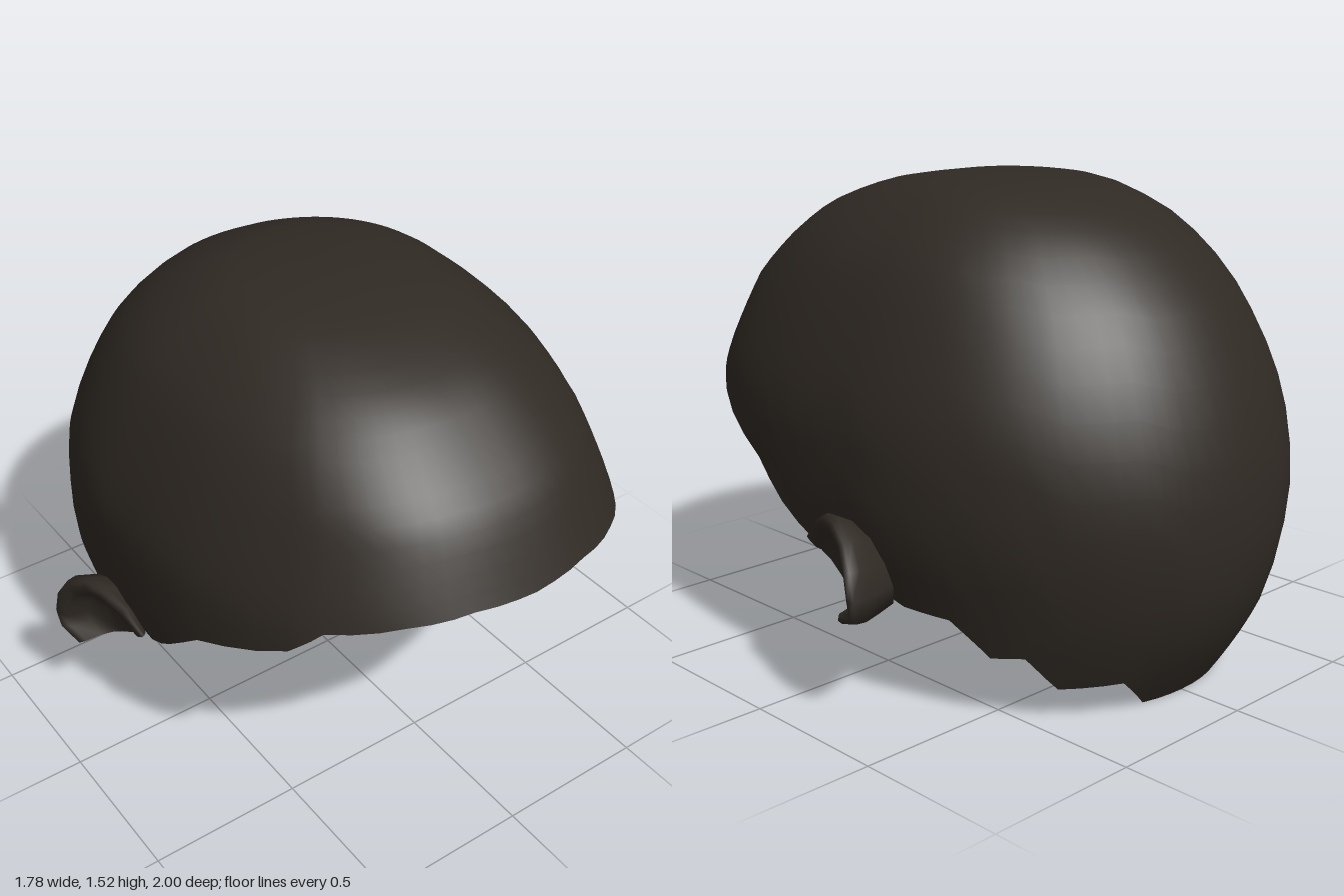
import * as THREE from 'three';
import { mergeVertices } from 'three/addons/utils/BufferGeometryUtils.js';

const material = new THREE.MeshStandardMaterial({ color: 0x302a24, side: THREE.DoubleSide });

// Smooth surface through rows of [x, y, z] points
function loft(name, rows) {
  const n = rows[0].length, index = [];
  for (let j = 0; j < rows.length - 1; j++) {
    for (let i = 0; i < n - 1; i++) {
      const a = j * n + i, b = a + 1, c = a + n, d = c + 1;
      index.push(a, b, c, b, d, c);
    }
  }
  let geo = new THREE.BufferGeometry();
  geo.setAttribute('position', new THREE.Float32BufferAttribute(rows.flat(2), 3));
  geo.setIndex(index);
  geo = mergeVertices(geo, 1e-4);
  geo.computeVertexNormals();
  const mesh = new THREE.Mesh(geo, material);
  mesh.name = name;
  return mesh;
}

// Horizontal sections of the skull: height, half width, front z, back z
const TOP = 1.525;
const SECTIONS = [
  [TOP, 0, 0, 0], [1.51, 0.25, 0.2, -0.28], [1.49, 0.33, 0.33, -0.35],
  [1.4, 0.47, 0.6, -0.57], [1.3, 0.57, 0.735, -0.69], [1.17, 0.64, 0.88, -0.81],
  [1.0, 0.71, 0.97, -0.905], [0.94, 0.73, 1.0, -0.93], [0.86, 0.753, 1.03, -0.955],
  [0.74, 0.76, 1.05, -0.99], [0.55, 0.76, 1.05, -1], [0.39, 0.72, 1.0, -0.98],
  [0.25, 0.685, 0.95, -0.94], [0.12, 0.66, 0.9, -0.87], [0, 0.6, 0.85, -0.79],
];

function section(y) {
  let k = 1;
  while (k < SECTIONS.length - 1 && SECTIONS[k][0] > y) k++;
  const a = SECTIONS[k - 1], b = SECTIONS[k];
  const depth = (h) => Math.sqrt(Math.max(0, TOP - h));
  const t = (depth(y) - depth(a[0])) / (depth(b[0]) - depth(a[0]));
  const [w, front, back] = [1, 2, 3].map((i) => a[i] + (b[i] - a[i]) * t);
  return { w, front, back, mid: -0.12 * w / 0.76 };
}

// Point on the skull at an angle from the front; squarer in front than behind
function skullPoint(phi, y) {
  const { w, front, back, mid } = section(y);
  const s = Math.sin(phi), c = Math.cos(phi);
  const n = c > 0 ? 2.4 : 2.05;
  const r = (Math.abs(s) ** n + Math.abs(c) ** n) ** (-1 / n);
  return [w * r * s, y, mid + (c > 0 ? front - mid : mid - back) * r * c];
}

// Jagged lower rim on the left, front to back: x, y, z
const RIM = [
  [0, 0.935, 1], [0.2, 0.945, 0.96], [0.38, 0.925, 0.89], [0.56, 0.88, 0.76],
  [0.62, 0.79, 0.67], [0.72, 0.65, 0.34], [0.75, 0.485, 0.14], [0.745, 0.45, 0.07],
  [0.74, 0.47, 0], [0.72, 0.38, -0.15], [0.69, 0.32, -0.3], [0.65, 0.31, -0.45],
  [0.57, 0.2, -0.54], [0.54, 0.21, -0.65], [0.44, 0.1, -0.69], [0.28, 0.11, -0.8],
  [0.16, 0, -0.78], [0, 0, -0.79],
];

function createSkullCap() {
  const knots = RIM.map(([x, y, z]) => {
    const { w, front, back, mid } = section(y);
    const v = (z - mid) / (z > mid ? front - mid : mid - back);
    return [Math.atan2(x / w, v), y];
  });
  // Three columns per rim segment, then mirrored to the right
  const half = [];
  for (let k = 0; k < knots.length - 1; k++) {
    for (let t = 0; t < 3; t++) {
      half.push([0, 1].map((i) => knots[k][i] + (knots[k + 1][i] - knots[k][i]) * t / 3));
    }
  }
  half.push(knots[knots.length - 1]);
  const columns = [...half, ...half.slice(0, -1).reverse().map(([p, y]) => [2 * Math.PI - p, y])];
  const rows = [], N = 18;
  for (let j = 0; j <= N; j++) {
    const t = j === N ? 1 : Math.sin(j / N * Math.PI / 2);
    rows.push(columns.map(([phi, y]) => skullPoint(phi, y + (TOP - y) * t)));
  }
  return loft('skullCap', rows);
}

// Upper part of the ear: arch from the rear bottom over the top to the front root
const EAR = [
  [0.86, 0.29, -0.22], [0.88, 0.32, -0.31], [0.89, 0.39, -0.31], [0.885, 0.47, -0.29],
  [0.865, 0.55, -0.24], [0.84, 0.588, -0.16], [0.82, 0.585, -0.09], [0.79, 0.54, -0.01],
  [0.765, 0.47, 0.06],
];

function createEar() {
  // Each ring: scale about the ear centre, share of the outward reach
  const rings = [[0.82, -0.25], [0.92, 0.25], [1, 0.7], [0.98, 0.95], [0.88, 1], [0.74, 0.85], [0.66, 0.4], [0.4, 0.15], [0, 0.1]];
  const rows = rings.map(([s, reach]) => EAR.map(([x, y, z]) => [
    s === 0 ? 0.75 : 0.74 + (x - 0.74) * reach,
    0.37 + (y - 0.37) * s,
    -0.1 + (z + 0.1) * s,
  ]));
  return loft('leftEar', rows);
}

export function createModel() {
  const model = new THREE.Group();
  model.name = 'headCap';
  const left = createEar();
  const right = left.clone();
  right.name = 'rightEar';
  right.scale.x = -1;
  model.add(createSkullCap(), left, right);
  return model;
}
